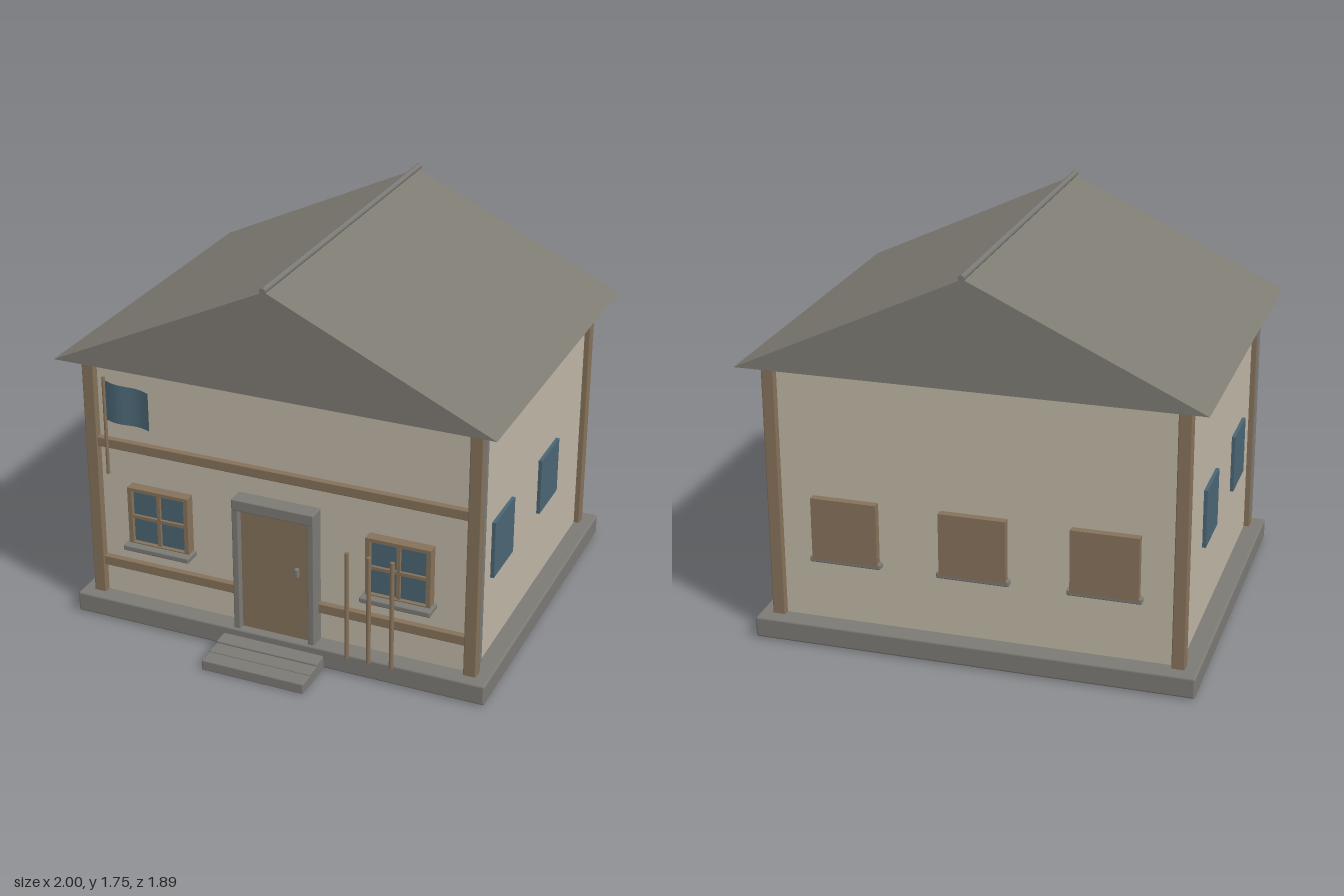
import * as THREE from 'three';
import { RoundedBoxGeometry } from 'three/addons/geometries/RoundedBoxGeometry.js';

const mat = (name, color) => {
  const m = new THREE.MeshStandardMaterial({ color });
  m.name = name;
  return m;
};

export function createModel() {
  const house = new THREE.Group();
  house.name = 'house';
  const plaster = mat('plaster', 0xbfb7a6);
  const wood = mat('wood', 0x86725a);
  const stone = mat('stone', 0x7c7a75);
  const roofing = mat('roofing', 0x7e7b73);
  const glass = mat('glass', 0x4b6674);
  const cloth = mat('cloth', 0x4b6674);
  cloth.side = THREE.DoubleSide;

  const add = (name, geometry, material, parent = house) => {
    const mesh = new THREE.Mesh(geometry, material);
    mesh.name = name;
    parent.add(mesh);
    return mesh;
  };
  // Box from its minimum and maximum corners, with an optional softened edge
  const box = (name, material, [x0, y0, z0], [x1, y1, z1], bevel = 0, parent = house) => {
    const size = [x1 - x0, y1 - y0, z1 - z0];
    const g = bevel ? new RoundedBoxGeometry(...size, 2, bevel) : new THREE.BoxGeometry(...size);
    g.translate((x0 + x1) / 2, (y0 + y1) / 2, (z0 + z1) / 2);
    return add(name, g, material, parent);
  };
  const pole = (name, material, x, z, y0, y1, r) => {
    const g = new THREE.CylinderGeometry(r, r, y1 - y0, 10);
    g.translate(x, (y0 + y1) / 2, z);
    return add(name, g, material);
  };

  // Base, steps and walls
  box('plinth', stone, [-0.975, 0.015, -0.91], [0.975, 0.11, 0.73], 0.01);
  [[0.945, 0.06], [0.873, 0.066], [0.803, 0.076]].forEach(([z, y], i) =>
    box('step' + (i + 1), stone, [-0.24, 0.01, 0.7], [0.24, y, z], 0.006));
  box('walls', plaster, [-0.89, 0.1, -0.82], [0.89, 1.272, 0.645]);

  // Solid gable roof with a ridge pole
  const gable = new THREE.Shape([
    new THREE.Vector2(-1, 1.272), new THREE.Vector2(1, 1.272), new THREE.Vector2(0, 1.74),
  ]);
  const roof = new THREE.ExtrudeGeometry(gable, { depth: 1.69, bevelEnabled: false });
  roof.translate(0, 0, -0.93);
  add('roof', roof, roofing);
  const ridge = new THREE.CylinderGeometry(0.014, 0.014, 1.72, 10);
  ridge.rotateX(Math.PI / 2).translate(0, 1.748, -0.085);
  add('ridge', ridge, stone);

  // Corner posts and downpipes
  for (const s of [-1, 1]) {
    const [xa, xb] = s > 0 ? [0.86, 0.917] : [-0.917, -0.86];
    box('frontPost', wood, [xa, 0.1, 0.62], [xb, 1.275, 0.677], 0.005);
    box('backPost', wood, [xa, 0.1, -0.849], [xb, 1.275, -0.795], 0.005);
    pole('downpipe', stone, s * 0.912, 0.635, 0.165, 1.272, 0.014);
  }

  // Front beams
  for (const [y0, y1] of [[0.25, 0.295], [0.845, 0.89], [1.252, 1.273]]) {
    box('frontBeam', wood, [-0.865, y0, 0.63], [0.865, y1, 0.672], 0.004);
  }

  // Doorway
  const door = new THREE.Group();
  door.name = 'doorway';
  house.add(door);
  box('doorPanel', wood, [-0.162, 0.11, 0.64], [0.162, 0.7, 0.69], 0, door);
  box('doorLintel', stone, [-0.192, 0.695, 0.64], [0.192, 0.748, 0.722], 0.006, door);
  for (const s of [-1, 1]) {
    const x = s * 0.177;
    box('doorJamb', stone, [x - 0.015, 0.105, 0.64], [x + 0.015, 0.72, 0.72], 0.005, door);
  }
  box('doorHandle', stone, [0.095, 0.42, 0.685], [0.112, 0.462, 0.71], 0.004, door);

  // Front windows with frames, crossbars and sills
  for (const x of [-0.565, 0.565]) {
    const win = new THREE.Group();
    win.name = 'frontWindow';
    win.position.x = x;
    house.add(win);
    const frame = new THREE.Shape([[-0.147, 0.4], [0.147, 0.4], [0.147, 0.683], [-0.147, 0.683]]
      .map(p => new THREE.Vector2(...p)));
    frame.holes.push(new THREE.Path([[-0.127, 0.415], [-0.127, 0.667], [0.127, 0.667], [0.127, 0.415]]
      .map(p => new THREE.Vector2(...p))));
    const g = new THREE.ExtrudeGeometry(frame, { depth: 0.055, bevelEnabled: false });
    add('windowFrame', g.translate(0, 0, 0.64), wood, win);
    box('windowGlass', glass, [-0.13, 0.41, 0.64], [0.13, 0.67, 0.675], 0, win);
    box('windowUpright', wood, [-0.008, 0.41, 0.65], [0.008, 0.67, 0.688], 0, win);
    box('windowCrossbar', wood, [-0.13, 0.532, 0.65], [0.13, 0.547, 0.688], 0, win);
    box('windowSill', stone, [-0.16, 0.384, 0.64], [0.16, 0.41, 0.73], 0.006, win);
  }

  // Side windows
  for (const s of [-1, 1]) {
    for (const z of [0.325, -0.294]) {
      const pane = box('sideWindow', glass, [-0.01, 0.47, -0.126], [0.01, 0.735, 0.126]);
      pane.position.set(s * 0.896, 0, z);
    }
  }

  // Back shutters with sills
  for (const x of [-0.57, 0, 0.57]) {
    box('backShutter', wood, [x - 0.147, 0.4, -0.855], [x + 0.147, 0.683, -0.81]);
    box('backSill', stone, [x - 0.16, 0.384, -0.853], [x + 0.16, 0.41, -0.81], 0.006);
  }

  // Upright poles by the door
  for (const x of [0.36, 0.46, 0.565]) pole('standingPole', wood, x, 0.754, 0.113, 0.627, 0.01);

  // Flag with a gentle wave, tapering towards its free end
  pole('flagPole', wood, -0.775, 0.738, 0.76, 1.22, 0.008);
  const flag = new THREE.PlaneGeometry(1, 1, 10, 4);
  const p = flag.attributes.position;
  for (let i = 0; i < p.count; i++) {
    const u = p.getX(i) + 0.5, v = p.getY(i) + 0.5;
    const low = 1.02 - 0.017 * u, high = 1.205 - 0.025 * u;
    p.setXYZ(i, -0.768 + 0.205 * u, low + (high - low) * v, 0.738 + 0.009 * Math.sin(u * 6.28));
  }
  flag.computeVertexNormals();
  add('flag', flag, cloth);

  return house;
}
